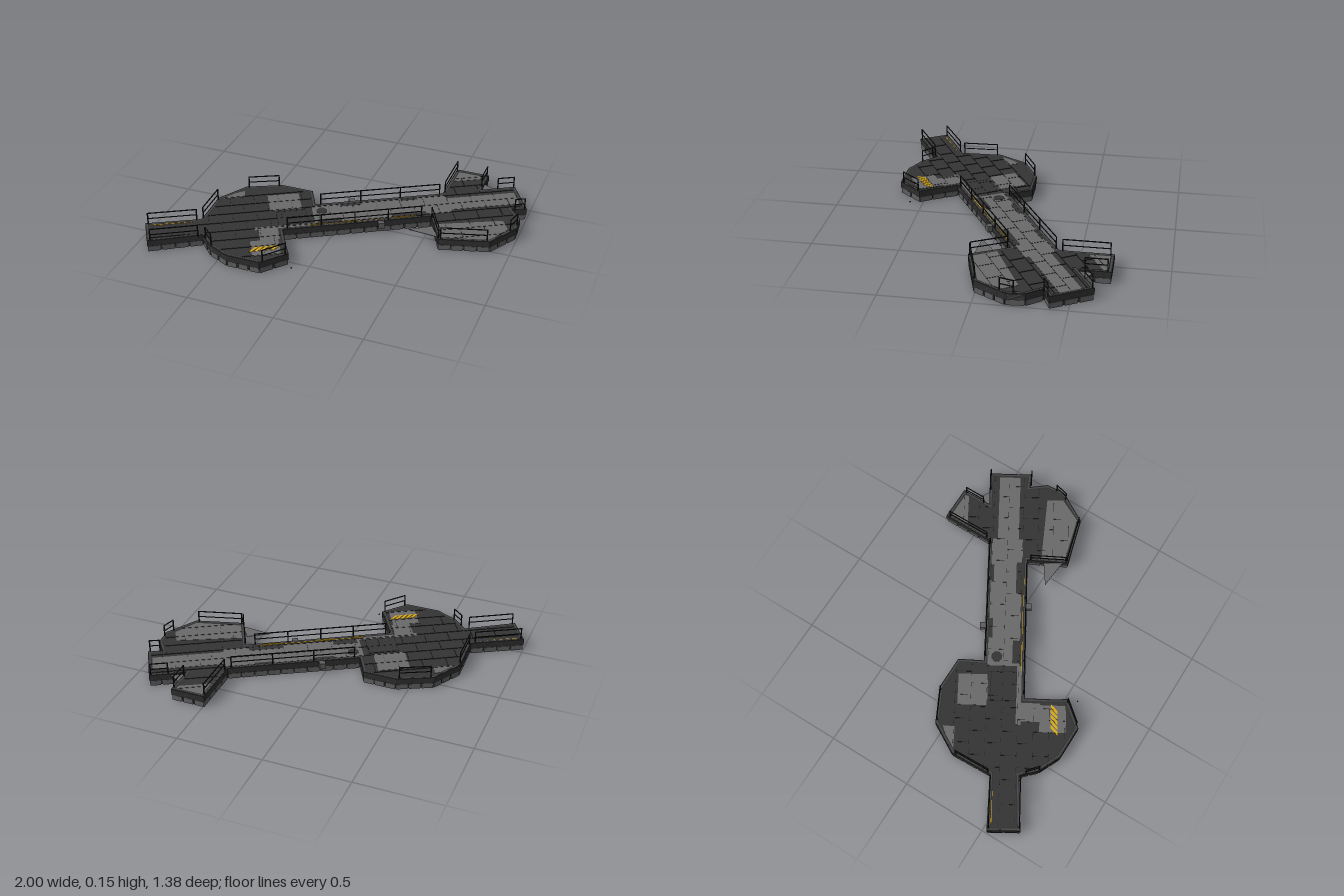
import * as THREE from 'three';
import { mergeGeometries } from 'three/addons/utils/BufferGeometryUtils.js';

const material = (name, color, side = THREE.FrontSide) => {
  const m = new THREE.MeshStandardMaterial({ color, side });
  m.name = name;
  return m;
};

// Plan of the platform in x, z, running from the west tip along the front to the east and back
const OUTLINE = [
  [-1, 0.53], [-0.903, 0.69], [-0.64, 0.52], [-0.56, 0.6], [-0.43, 0.66], [-0.23, 0.66], [-0.115, 0.52], [-0.16, 0.45],
  [-0.24, 0.31], [0.5, -0.125], [0.61, 0.09], [0.89, 0.01], [0.995, -0.17], [0.988, -0.28], [0.92, -0.365], [0.997, -0.4],
  [0.87, -0.62], [0.692, -0.515], [0.692, -0.692], [0.49, -0.692], [0.49, -0.39], [-0.17, -0.01], [-0.24, -0.14],
  [-0.435, -0.14], [-0.63, -0.045], [-0.73, 0.13], [-0.72, 0.375],
];

// The bridge runs 30 degrees off x: u lies along it, v across it
const C = Math.cos(Math.PI / 6), S = 0.5;
const toXZ = ([u, v]) => [C * u + S * v, -S * u + C * v];
const toUV = ([x, z]) => [C * x - S * z, S * x + C * z];
const rectUV = (u0, u1, v0, v1) => [[u0, v0], [u1, v0], [u1, v1], [u0, v1]].map(toXZ);

// Moves every edge of a plan inward by d
function inset(poly, d) {
  const n = poly.length;
  const normal = (a, b) => {
    const l = Math.hypot(b[0] - a[0], b[1] - a[1]);
    return [(b[1] - a[1]) / l, -(b[0] - a[0]) / l];
  };
  return poly.map((p, i) => {
    const m = normal(poly[(i + n - 1) % n], p), k = normal(p, poly[(i + 1) % n]);
    const f = d / (1 + m[0] * k[0] + m[1] * k[1]);
    return [p[0] + (m[0] + k[0]) * f, p[1] + (m[1] + k[1]) * f];
  });
}

// Flat-topped prism hanging down from height top
function prism(poly, top, depth, hole) {
  const vec = (p) => new THREE.Vector2(p[0], p[1]);
  const shape = new THREE.Shape(poly.map(vec));
  if (hole) shape.holes.push(new THREE.Path(hole.map(vec)));
  return new THREE.ExtrudeGeometry(shape, { depth, bevelEnabled: false }).rotateX(Math.PI / 2).translate(0, top, 0);
}

// Box between two plan points; out shifts it to the outer side
function bar(a, b, y, height, width, out = 0) {
  const dx = b[0] - a[0], dz = b[1] - a[1];
  return new THREE.BoxGeometry(Math.hypot(dx, dz), height, width).translate(0, 0, out)
    .rotateY(-Math.atan2(dz, dx)).translate((a[0] + b[0]) / 2, y, (a[1] + b[1]) / 2);
}

const lerp = (a, b, t) => [a[0] + (b[0] - a[0]) * t, a[1] + (b[1] - a[1]) * t];

// Stretches of the line v = const lying inside a plan given in u, v
function spans(poly, v) {
  const hits = [];
  poly.forEach((a, i) => {
    const b = poly[(i + 1) % poly.length];
    if ((a[1] > v) !== (b[1] > v)) hits.push(a[0] + (b[0] - a[0]) * (v - a[1]) / (b[1] - a[1]));
  });
  hits.sort((p, q) => p - q);
  const out = [];
  for (let i = 0; i + 1 < hits.length; i += 2) out.push([hits[i], hits[i + 1]]);
  return out;
}

export function createModel() {
  const root = new THREE.Group();
  root.name = 'walkwayPlatform';
  const darkFloor = material('dark floor', 0x343434);
  const lightFloor = material('light floor', 0x69696b, THREE.DoubleSide);
  const rim = material('rim', 0x2e2e2e);
  const trim = material('rim trim', 0x474747);
  const seam = material('seam', 0x222222);
  const panel = material('side panel', 0x5e5e60);
  const under = material('underside', 0x2c2c2c);
  const railing = material('railing', 0x1b1b1b);
  const yellow = material('warning yellow', 0xdcaa14);
  const add = (name, geos, mat) => {
    const mesh = new THREE.Mesh(Array.isArray(geos) ? mergeGeometries(geos) : geos, mat);
    mesh.name = name;
    root.add(mesh);
  };

  // Hull: recessed underside within a skirt, deck slab and raised rim with a paler trim line
  const inner = inset(OUTLINE, 0.02);
  add('base', prism(inset(OUTLINE, 0.012), 0.037, 0.021), under);
  add('skirtBacking', prism(inset(OUTLINE, 0.009), 0.037, 0.033, inset(OUTLINE, 0.013)), under);
  add('deck', prism(inset(OUTLINE, 0.01), 0.071, 0.032), darkFloor);
  add('rim', prism(OUTLINE, 0.075, 0.038, inner), rim);
  add('rimTrim', prism(inset(OUTLINE, 0.007), 0.0758, 0.002, inset(OUTLINE, 0.014)), trim);

  // Side panels and rivets round the edge
  const panels = [], rivets = [];
  OUTLINE.forEach((a, i) => {
    const b = OUTLINE[(i + 1) % OUTLINE.length];
    const len = Math.hypot(b[0] - a[0], b[1] - a[1]);
    const n = Math.max(1, Math.round(len / 0.075));
    for (let k = 0; k < n; k++) {
      const p = lerp(a, b, k / n + 0.005 / len), q = lerp(a, b, (k + 1) / n - 0.005 / len);
      panels.push(bar(p, q, 0.0185, 0.031, 0.014, -0.01));
      rivets.push(bar(lerp(p, q, 0.25), lerp(p, q, 0.25 + 0.003 * n / len), 0.056, 0.004, 0.003));
    }
  });
  add('sidePanels', panels, panel);
  add('rivets', rivets, panel);
  const slats = [0, 1, 2, 3].map((k) => bar([0.994, -0.185], [0.989, -0.27], 0.043 + k * 0.007, 0.003, 0.005));
  add('ventSlats', slats, panel);

  // Light floor areas
  add('lightFloor', [
    rectUV(-0.17, 0.63, -0.075, 0.112),
    rectUV(0.63, 1.04, -0.04, 0.085),
    rectUV(-0.41, -0.225, -0.235, -0.065),
    rectUV(-0.52, -0.17, 0.1, 0.128),
    rectUV(-0.56, -0.4, 0.235, 0.385),
    rectUV(-0.5, -0.39, 0.128, 0.235),
    [[-0.7, 0.12], [-0.7, 0.085], [-0.62, 0.0], [-0.59, 0.06]],
    [[0.51, -0.67], [0.67, -0.67], [0.67, -0.645], [0.51, -0.555]],
    [[0.55, -0.06], [0.9, -0.23], [0.95, -0.15], [0.88, -0.01], [0.62, 0.06]],
  ].map((p) => prism(p, 0.0725, 0.003)), lightFloor);
  add('looseCornerPlates', [
    prism([[0.42, 0.045], [0.535, -0.035], [0.6, 0.06]], 0.07, 0.003),
    prism([[0.69, -0.6], [0.78, -0.55], [0.69, -0.5]], 0.065, 0.003),
  ], lightFloor);

  // Dark inserts, hatch and round cover on the bridge
  const [cx, cz] = toXZ([-0.115, -0.02]);
  add('darkInserts', [
    rectUV(-0.155, -0.015, 0.07, 0.115), rectUV(0.28, 0.48, 0.078, 0.115),
    rectUV(0.0, 0.12, -0.078, -0.05), rectUV(0.36, 0.46, -0.078, -0.055),
  ].map((p) => prism(p, 0.0735, 0.003)), darkFloor);
  add('roundCover', new THREE.CylinderGeometry(0.033, 0.033, 0.005, 8).translate(cx, 0.0715, cz), darkFloor);
  add('hatchFrame', prism(rectUV(-0.38, -0.205, -0.05, 0.1), 0.0735, 0.003, rectUV(-0.377, -0.208, -0.047, 0.097)), seam);
  add('hatch', prism(rectUV(-0.377, -0.208, -0.047, 0.097), 0.073, 0.003), darkFloor);

  // Fine upright joints between large staggered floor slabs, and strips below
  const innerUV = inner.map(toUV), joints = [], strips = [];
  const step = 0.09;
  for (let row = -6; row <= 6; row++) {
    const v = row * step + 0.02;
    const here = spans(innerUV, v), next = spans(innerUV, v + step);
    for (const [a, b] of here) {
      joints.push(bar(toXZ([a, v]), toXZ([b, v]), 0.0725, 0.003, 0.001));
      if (row % 2 === 0) strips.push(bar(toXZ([a, v]), toXZ([b, v]), 0.014, 0.006, 0.006));
    }
    for (let k = -8; k <= 8; k++) {
      const u = k * 0.14 + (row % 2 ? 0.07 : 0);
      const within = (list) => list.some(([a, b]) => u > a && u < b);
      if (within(here) && within(next)) {
        joints.push(bar(toXZ([u, v]), toXZ([u, v + step]), 0.0725, 0.003, 0.001));
      }
    }
  }
  add('floorJoints', joints, seam);
  add('undersideStrips', strips, panel);

  // Yellow markings
  const slashes = [0, 1, 2, 3, 4].map((k) => {
    const u = -0.575 + k * 0.03;
    return prism([[u, 0.338], [u + 0.021, 0.338], [u + 0.063, 0.298], [u + 0.042, 0.298]].map(toXZ), 0.0745, 0.002);
  });
  add('warningStripes', slashes, yellow);
  const edgeLines = [[-0.2, 0.43, 0.124], [-1.09, -0.86, -0.018]]
    .map(([a, b, v]) => bar(toXZ([a, v]), toXZ([b, v]), 0.0735, 0.002, 0.004));
  const toeBoards = [[0.28, 0.4], [-0.02, 0.07], [-0.2, -0.14]]
    .map(([a, b]) => bar(toXZ([a, 0.124]), toXZ([b, 0.124]), 0.0765, 0.008, 0.004));
  add('edgeLines', [...edgeLines, ...toeBoards], yellow);

  // Small brackets beside the bridge and a loose marker
  add('brackets', [rectUV(0.06, 0.095, -0.125, -0.085), rectUV(0.185, 0.22, 0.13, 0.172)]
    .map((p) => prism(p, 0.074, 0.035)), panel);
  add('looseMarker', new THREE.BoxGeometry(0.006, 0.006, 0.006).translate(-0.08, 0.02, 0.57), railing);

  // Railings: posts with a top and a middle bar
  const rails = [
    [[-0.98, 0.53], [-0.74, 0.393]], [[-0.89, 0.675], [-0.66, 0.54]],
    [[-0.715, 0.36], [-0.722, 0.15]], [[-0.61, -0.045], [-0.45, -0.125]],
    [[-0.61, 0.545], [-0.55, 0.597]], [[-0.22, 0.64], [-0.13, 0.53]],
    [[-0.22, 0.29], [0.45, -0.102]], [[-0.14, -0.018], [0.475, -0.372]],
    [[0.498, -0.41], [0.498, -0.67]], [[0.684, -0.67], [0.684, -0.55]],
    [[0.78, -0.56], [0.865, -0.608]], [[0.935, -0.366], [0.985, -0.393]],
    [[0.985, -0.215], [0.965, -0.14]], [[0.62, 0.077], [0.87, 0.006]],
    [[0.51, -0.11], [0.608, 0.075]],
  ];
  const bars = [];
  for (const [a, b] of rails) {
    for (const y of [0.111, 0.146]) bars.push(bar(a, b, y, y > 0.12 ? 0.005 : 0.004, 0.005));
    const n = Math.max(1, Math.round(Math.hypot(b[0] - a[0], b[1] - a[1]) / 0.21));
    for (let k = 0; k <= n; k++) {
      const [x, z] = lerp(a, b, k / n);
      bars.push(new THREE.BoxGeometry(0.006, 0.08, 0.006).translate(x, 0.108, z));
    }
  }
  add('railings', bars, railing);
  return root;
}
